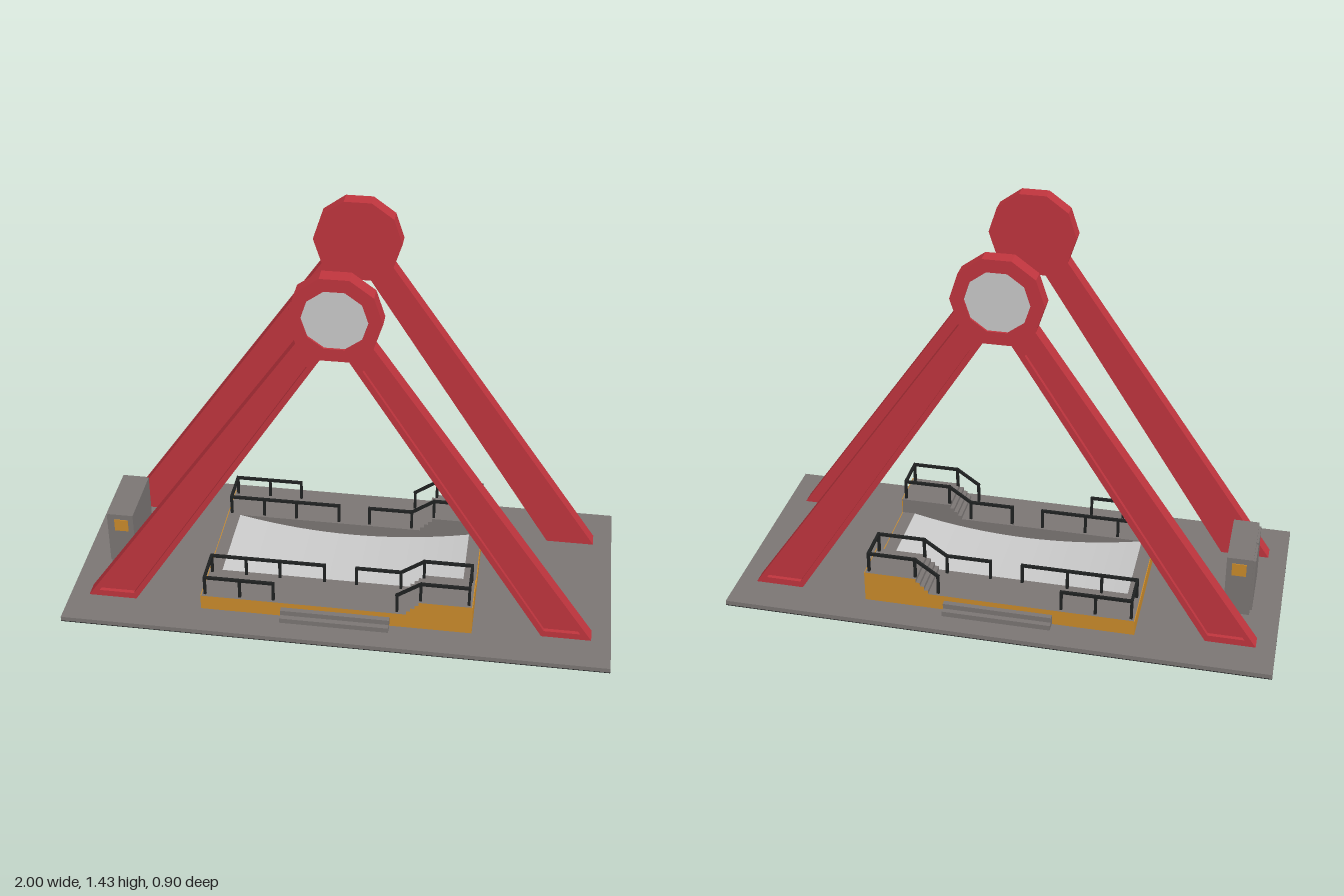
import * as THREE from 'three';

const paint = (name, color) => {
  const m = new THREE.MeshStandardMaterial({ color });
  m.name = name;
  return m;
};

export function createModel() {
  const red = paint('red', 0xc0353e);
  const orange = paint('orange', 0xcb8b2b);
  const grey = paint('grey', 0x7b7674);
  const light = paint('light grey', 0xcacaca);
  const black = paint('black', 0x1f2121);
  const model = new THREE.Group();

  const add = (parent, name, geometry, material) => {
    const mesh = new THREE.Mesh(geometry, material);
    mesh.name = name;
    parent.add(mesh);
    return mesh;
  };
  // Box given by its limits on each axis
  const box = (parent, name, x0, x1, y0, y1, z0, z1, material) => {
    const g = new THREE.BoxGeometry(x1 - x0, y1 - y0, z1 - z0);
    g.translate((x0 + x1) / 2, (y0 + y1) / 2, (z0 + z1) / 2);
    return add(parent, name, g, material);
  };
  const outline = (pts) => new THREE.Shape(pts.map(([x, y]) => new THREE.Vector2(x, y)));
  // Extruded outline between two z limits, with an optional hole
  const slab = (parent, name, pts, z0, z1, material, hole) => {
    const shape = outline(pts);
    if (hole) shape.holes.push(outline(hole));
    const g = new THREE.ExtrudeGeometry(shape, { depth: z1 - z0, bevelEnabled: false });
    g.translate(0, 0, z0);
    return add(parent, name, g, material);
  };
  // Square bar between two points
  const bar = (parent, a, b) => {
    const p = new THREE.Vector3(...a), q = new THREE.Vector3(...b);
    const mesh = add(parent, 'railBar', new THREE.BoxGeometry(0.01, 0.01, p.distanceTo(q) + 0.01), black);
    mesh.position.copy(p).lerp(q, 0.5);
    mesh.lookAt(q);
  };

  // Ground plate with a black underside
  box(model, 'basePlate', -1, 1, 0.003, 0.02, -0.45, 0.45, grey);
  box(model, 'basePlateUnderside', -1, 1, 0, 0.003, -0.45, 0.45, black);

  // A-frame supports: sunken leg panels and a ten-sided hub
  const ring = (r) => Array.from({ length: 10 }, (_, i) => {
    const a = i * Math.PI / 5;
    return [r * Math.cos(a), 1.273 + r * Math.sin(a)];
  });
  const leg = [[-0.93, 0.02], [-0.75, 0.02], [-0.049, 1.121], [-0.129, 1.179]];
  const panel = [[-0.889, 0.045], [-0.758, 0.045], [-0.093, 1.09], [-0.139, 1.13]];
  const flip = (pts) => pts.map(([x, y]) => [-x, y]).reverse();
  for (const [name, turn] of [['frontSupport', 0], ['backSupport', Math.PI]]) {
    const support = new THREE.Group();
    support.name = name;
    support.rotation.y = turn;
    for (const [outer, inner] of [[leg, panel], [flip(leg), flip(panel)]]) {
      slab(support, 'legCore', outer, 0.253, 0.295, red);
      slab(support, 'legRim', outer, 0.295, 0.31, red, inner);
    }
    slab(support, 'hubCore', ring(0.16), 0.253, 0.298, red);
    slab(support, 'hubRim', ring(0.16), 0.298, 0.31, red, ring(0.112));
    slab(support, 'hubDisc', ring(0.112), 0.298, 0.302, light);
    model.add(support);
  }

  // Boarding platform: two stepped decks around a dished floor
  const platform = new THREE.Group();
  platform.name = 'platform';
  model.add(platform);
  const E = 0.497;
  const deck = [[-E, 0.02], [E, 0.02], [E, 0.14], [0.305, 0.14], [0.305, 0.125], [0.29, 0.125],
    [0.29, 0.11], [0.275, 0.11], [0.275, 0.095], [0.26, 0.095], [0.26, 0.08], [-E, 0.08]];
  for (const s of [1, -1]) {
    const span = (a, b) => (s > 0 ? [a, b] : [-b, -a]);
    slab(platform, 'deck', deck, ...span(0.172, 0.326), grey);
    slab(platform, 'deckFascia', deck, ...span(0.326, 0.33), [orange, grey]);
    box(platform, 'raisedDeckEnd', E, 0.5, 0.08, 0.14, ...span(0.172, 0.33), orange);
    // Entry steps
    box(platform, 'lowerStep', -0.2, 0.2, 0.02, 0.04, ...span(0.33, 0.37), grey);
    box(platform, 'upperStep', -0.2, 0.2, 0.04, 0.06, ...span(0.33, 0.35), grey);

    // Handrails, each a polyline with posts down to the deck
    const rails = new THREE.Group();
    rails.name = 'railings';
    platform.add(rails);
    const run = (pts) => {
      for (let i = 1; i < pts.length; i++) bar(rails, pts[i - 1], pts[i]);
    };
    const zi = s * 0.185, zo = s * 0.315, lo = 0.155, hi = 0.215, x = 0.485;
    run([[-0.06, lo, zi], [-x, lo, zi], [-x, lo, zo], [-0.23, lo, zo]]);
    run([[0.06, lo, zi], [0.225, lo, zi], [0.31, hi, zi], [x, hi, zi],
      [x, hi, zo], [0.31, hi, zo], [0.225, lo, zo]]);
    const posts = [[-x, zi], [-0.355, zi], [-0.228, zi], [-0.06, zi], [0.06, zi], [0.225, zi], [0.31, zi],
      [x, zi], [-x, zo], [-0.355, zo], [-0.23, zo], [0.225, zo], [0.31, zo], [x, zo]];
    for (const [px, pz] of posts) {
      const high = px > 0.3;
      bar(rails, [px, high ? 0.14 : 0.08, pz], [px, high ? hi : lo, pz]);
    }
  }
  box(platform, 'platformEndRight', -0.5, -E, 0.02, 0.08, -0.33, 0.33, orange);
  box(platform, 'platformEndLeft', E, 0.5, 0.02, 0.08, -0.33, 0.33, orange);
  box(platform, 'floorEndRight', -E, -0.45, 0.02, 0.08, -0.172, 0.172, grey);
  box(platform, 'floorEndLeft', 0.45, E, 0.02, 0.08, -0.172, 0.172, grey);
  const dish = [[-0.45, 0.02], [0.45, 0.02]];
  for (let i = 0; i <= 16; i++) {
    const t = 1 - i / 8;
    dish.push([0.45 * t, 0.03 + 0.05 * t * t]);
  }
  slab(platform, 'dishedFloor', dish, -0.172, 0.172, light);

  // Control cabinet with double doors and a sign on each side
  const cabinet = new THREE.Group();
  cabinet.name = 'cabinet';
  model.add(cabinet);
  box(cabinet, 'cabinetBody', -0.89, -0.795, 0.02, 0.26, -0.125, 0.125, grey);
  for (const s of [1, -1]) {
    const z = s * 0.06;
    box(cabinet, 'cabinetDoor', -0.898, -0.89, 0.035, 0.25, z - 0.054, z + 0.054, grey);
    box(cabinet, 'cabinetSign', -0.867, -0.815, 0.188, 0.238, s * 0.126 - 0.002, s * 0.126 + 0.002, orange);
  }
  return model;
}
